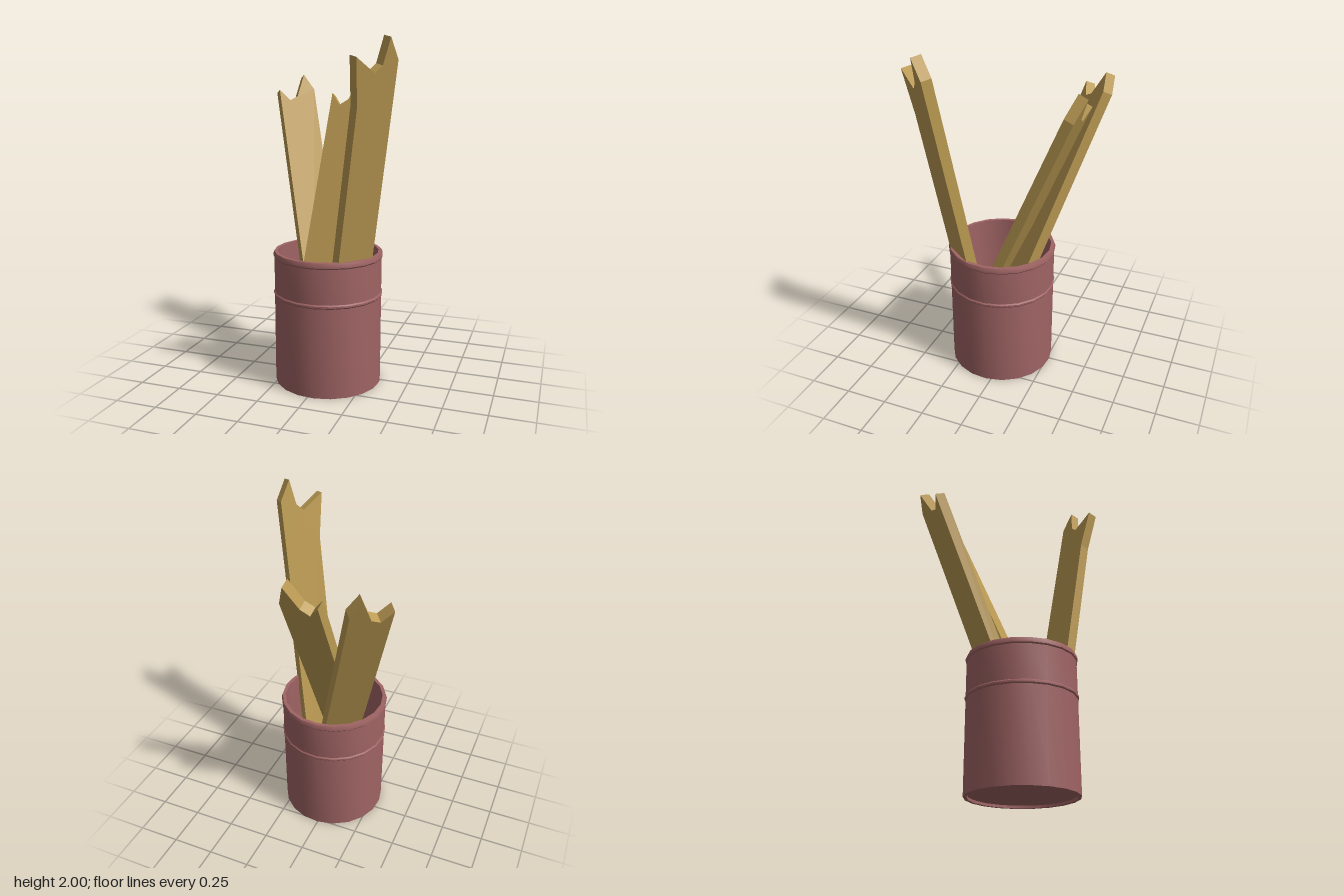
import * as THREE from 'three';
import { toCreasedNormals } from 'three/addons/utils/BufferGeometryUtils.js';

const THICKNESS = 0.06;

// A split board: end outline in the board's own plane, placed by its foot, lean and width direction
function makePlank(name, { foot, lean, across, end, depthFrom }, material) {
  const half = 0.115;
  const shape = new THREE.Shape([[-half, 0], [half, 0], ...end].map(([x, y]) => new THREE.Vector2(x, y)));
  const geometry = new THREE.ExtrudeGeometry(shape, { depth: THICKNESS, bevelEnabled: false });
  geometry.translate(0, 0, depthFrom);

  const up = new THREE.Vector3(...lean).normalize();
  const side = new THREE.Vector3(...across);
  side.addScaledVector(up, -side.dot(up)).normalize();
  const normal = new THREE.Vector3().crossVectors(side, up);
  geometry.applyMatrix4(new THREE.Matrix4().makeBasis(side, up, normal).setPosition(...foot));

  const plank = new THREE.Mesh(geometry, material);
  plank.name = name;
  return plank;
}

export function createModel() {
  const model = new THREE.Group();
  model.name = 'barrelWithPlanks';
  const paint = new THREE.MeshStandardMaterial({ color: 0xa06464 });
  const wood = new THREE.MeshStandardMaterial({ color: 0xbc9b53 });

  // Open barrel: recessed base, outer wall with two raised hoops, rim, inner wall and floor
  const profile = [
    [0, 0.015], [0.297, 0.015], [0.297, 0], [0.316, 0],
    [0.316, 0.53], [0.322, 0.537], [0.322, 0.547], [0.316, 0.554],
    [0.316, 0.757], [0.322, 0.764], [0.322, 0.776], [0.316, 0.793],
    [0.296, 0.793], [0.296, 0.03], [0, 0.03],
  ].map(([r, y]) => new THREE.Vector2(r, y));
  const barrel = new THREE.Mesh(toCreasedNormals(new THREE.LatheGeometry(profile, 20, 0.063), 0.6), paint);
  barrel.name = 'barrel';
  barrel.position.set(0.018, 0, 0.05);
  model.add(barrel);

  // Broken boards leaning outwards against the rim
  const planks = {
    middlePlank: {
      foot: [-0.038, 0.36, 0.2], lean: [0.05, 1.33, -0.57], across: [0.996, 0, 0.087], depthFrom: -THICKNESS,
      end: [[0.115, 1.41], [0.06, 1.55], [-0.003, 1.405], [-0.055, 1.37], [-0.115, 1.448]],
    },
    rightPlank: {
      foot: [0.052, 0.27, 0.084], lean: [-0.39, 1.44, -0.46], across: [0.763, 0, -0.647], depthFrom: -THICKNESS,
      end: [[0.115, 1.56], [0.06, 1.66], [-0.003, 1.515], [-0.055, 1.49], [-0.115, 1.56]],
    },
    leftPlank: {
      foot: [0.108, 0.21, 0.125], lean: [0.22, 1.44, 0.177], across: [0.627, 0, -0.779], depthFrom: 0,
      end: [[0.105, 1.71], [0.04, 1.822], [0.012, 1.68], [-0.03, 1.64], [-0.155, 1.72], [-0.115, 1.467]],
    },
  };
  for (const [name, spec] of Object.entries(planks)) model.add(makePlank(name, spec, wood));

  return model;
}
